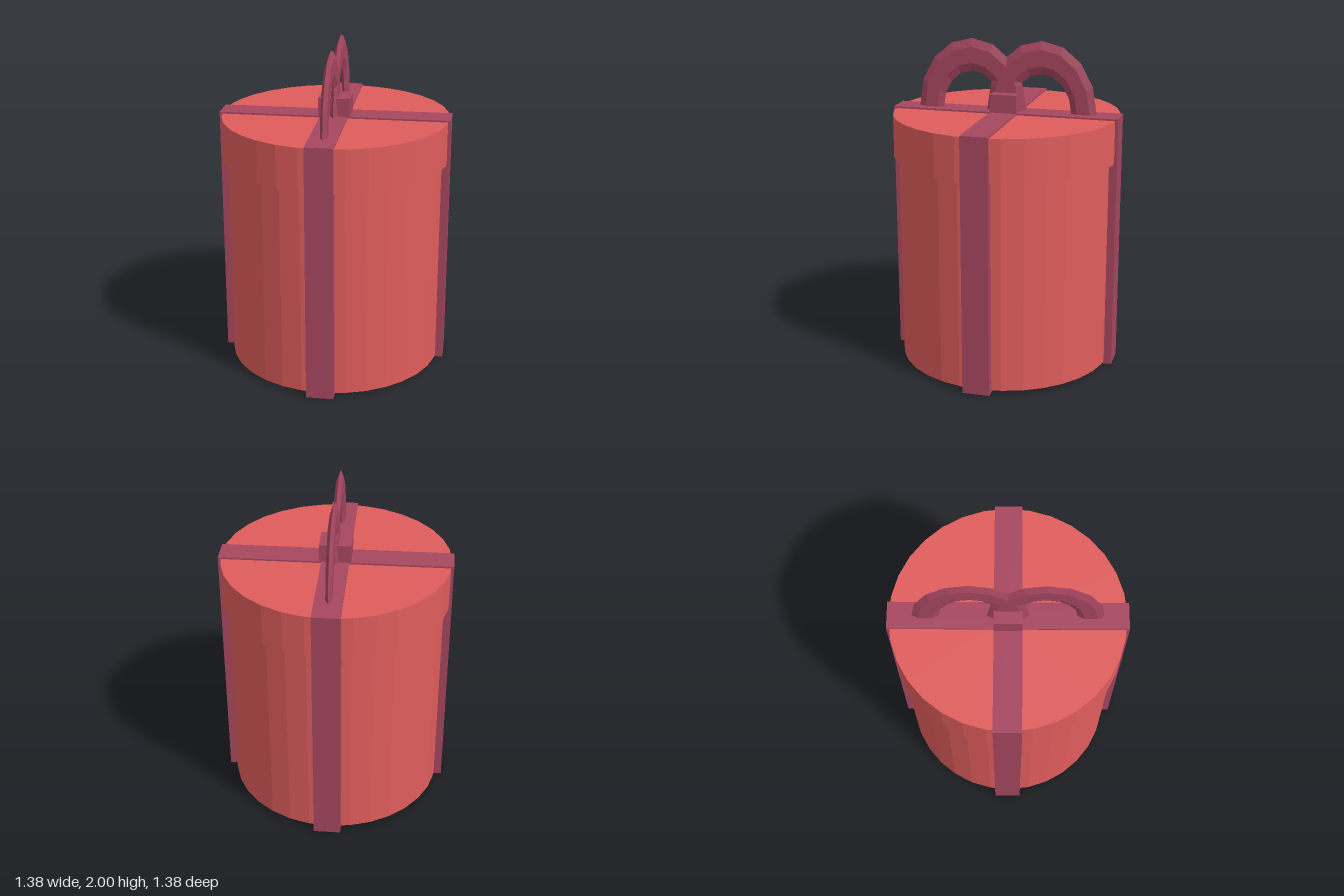
import * as THREE from 'three';

const red = new THREE.MeshStandardMaterial({ name: 'box red', color: 0xdf5d5c, flatShading: true });
const plum = new THREE.MeshStandardMaterial({ name: 'ribbon plum', color: 0xa6465f, flatShading: true });

function part(parent, name, geometry, material, x, y, z) {
  const mesh = new THREE.Mesh(geometry, material);
  mesh.name = name;
  mesh.position.set(x, y, z);
  parent.add(mesh);
  return mesh;
}

export function createModel() {
  const model = new THREE.Group();
  model.name = 'giftBox';

  // Round box and its slightly wider lid
  const drum = (name, radius, bottom, top) => {
    const geometry = new THREE.CylinderGeometry(radius, radius, top - bottom, 32);
    part(model, name, geometry, red, 0, (bottom + top) / 2, 0).rotation.y = -0.01;
  };
  drum('boxBody', 0.66, 0.015, 1.31);
  drum('lid', 0.69, 1.3, 1.56);

  // Ribbon and bow share one turned frame, the bow lying along its x axis
  const wrap = new THREE.Group();
  wrap.name = 'ribbonAndBow';
  wrap.rotation.y = THREE.MathUtils.degToRad(54.6);
  model.add(wrap);

  // Two crossing bands around the whole box
  part(wrap, 'ribbonLong', new THREE.BoxGeometry(1.4, 1.57, 0.165), plum, 0, 0.785, 0);
  part(wrap, 'ribbonCross', new THREE.BoxGeometry(0.165, 1.57, 1.4), plum, 0, 0.785, 0);

  // Knot
  part(wrap, 'knot', new THREE.BoxGeometry(0.165, 0.12, 0.19), plum, 0, 1.62, 0);

  // Flattened half-ring loops, overlapping in the middle
  for (const side of [-1, 1]) {
    const loop = new THREE.TorusGeometry(0.262, 0.078, 6, 8, Math.PI);
    loop.scale(1, 1.265, 0.28);
    part(wrap, side < 0 ? 'bowLoopA' : 'bowLoopB', loop, plum, side * 0.216, 1.57, 0);
  }
  return model;
}
